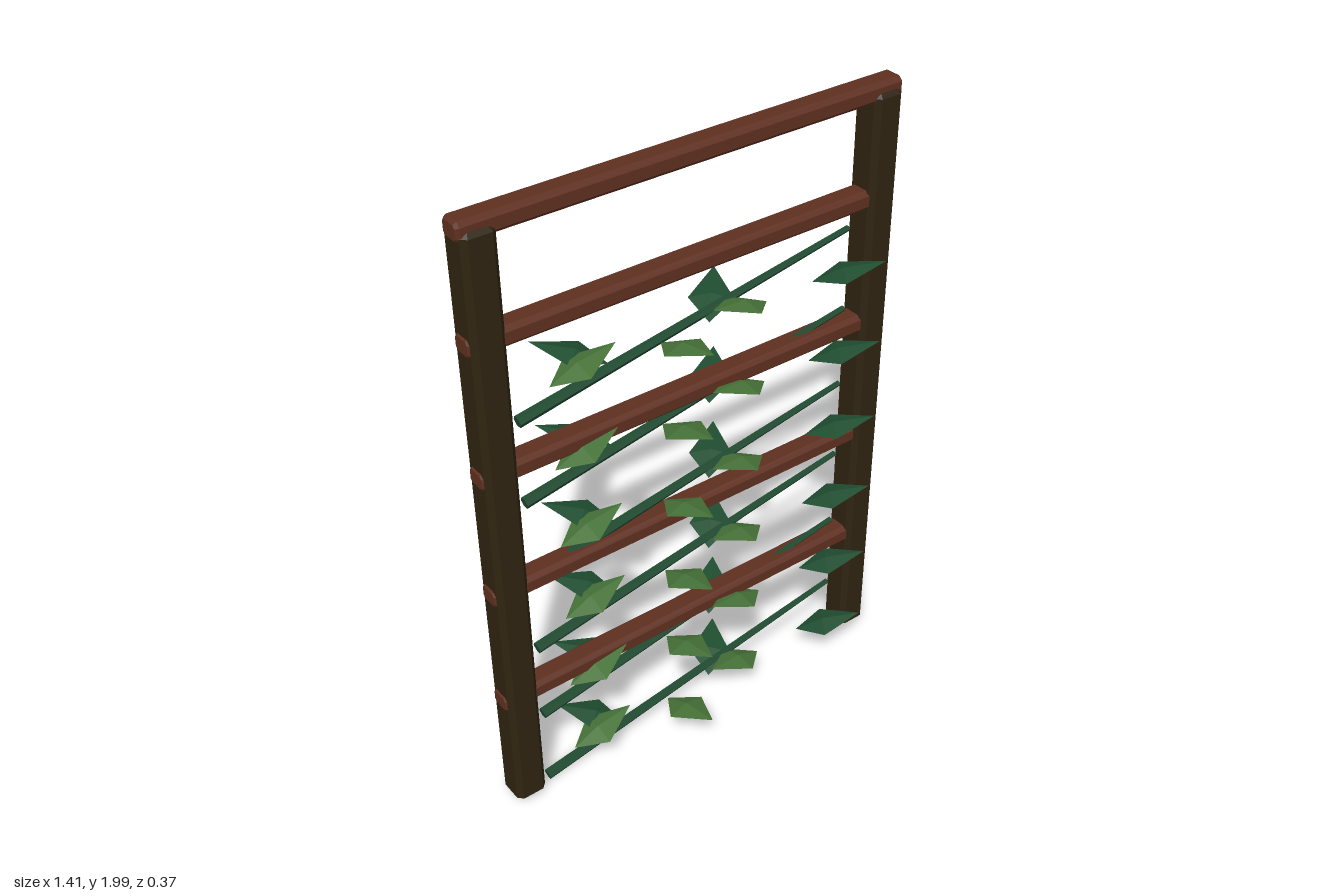
import * as THREE from 'three';

const flat = (name, color, side = THREE.FrontSide) => {
  const m = new THREE.MeshStandardMaterial({ color, side, flatShading: true });
  m.name = name;
  return m;
};

const Z = -0.06; // depth of the frame's centre plane

// Chamfered timber running along z, centred on the origin
function beamGeometry(w, h, length, chamfer, bevel) {
  const a = w / 2 - bevel, b = h / 2 - bevel, c = chamfer;
  const shape = new THREE.Shape([
    [a - c, -b], [a, -b + c], [a, b - c], [a - c, b],
    [-a + c, b], [-a, b - c], [-a, -b + c], [-a + c, -b],
  ].map(([x, y]) => new THREE.Vector2(x, y)));
  const g = new THREE.ExtrudeGeometry(shape, {
    depth: length - 2 * bevel, bevelEnabled: true,
    bevelThickness: bevel, bevelSize: bevel, bevelSegments: 1,
  });
  return g.translate(0, 0, -length / 2 + bevel);
}

// Kite-shaped leaf along +x, creased on a raised midrib and rising to its tip
function leafGeometry() {
  const base = [0, 0, 0], mid = [0.0875, 0.042, 0], tip = [0.21, 0.058, 0];
  const left = [0.0875, 0.025, -0.065], right = [0.0875, 0.025, 0.065];
  const faces = [base, mid, left, mid, tip, left, base, right, mid, mid, right, tip];
  const g = new THREE.BufferGeometry();
  g.setAttribute('position', new THREE.Float32BufferAttribute(faces.flat(), 3));
  g.computeVertexNormals();
  return g;
}

export function createModel() {
  const model = new THREE.Group();
  model.name = 'trellis';
  const postWood = flat('dark brown wood', 0x2f2412);
  const railWood = flat('red brown wood', 0x5f3020);
  const stemGreen = flat('stem green', 0x1f4a30);
  const lightGreen = flat('light leaf green', 0x467238, THREE.DoubleSide);
  const darkGreen = flat('dark leaf green', 0x1f4d30, THREE.DoubleSide);

  const add = (parent, name, geometry, material, x, y, z) => {
    const mesh = new THREE.Mesh(geometry, material);
    mesh.name = name;
    mesh.position.set(x, y, z);
    parent.add(mesh);
    return mesh;
  };

  // Upright posts
  const postGeo = beamGeometry(0.1, 0.1, 1.945, 0.009, 0.012).rotateX(-Math.PI / 2);
  for (const side of [-1, 1]) {
    add(model, side > 0 ? 'leftPost' : 'rightPost', postGeo, postWood, side * 0.65, 0.9975, Z);
  }

  // Cross rails, the highest capping the posts
  const railGeo = beamGeometry(0.075, 0.06, 1.41, 0.008, 0.009).rotateY(Math.PI / 2);
  [0.43, 0.835, 1.24, 1.65, 1.97].forEach((y, i) => {
    add(model, i === 4 ? 'topRail' : 'rail', railGeo, railWood, 0, y, Z);
  });

  // Tapered stem and leaves of one vine: [base x, base z, tip x, tip z, material]
  const start = new THREE.Vector3(-0.568, 0.024, Z), end = new THREE.Vector3(0.563, 0.223, Z);
  const direction = end.clone().sub(start);
  const stemGeo = new THREE.CylinderGeometry(0.009, 0.018, direction.length(), 6);
  const leafGeo = leafGeometry();
  const leaves = [
    [-0.3, -0.025, -0.458, -0.165, darkGreen],
    [-0.485, -0.025, -0.277, -0.025, lightGreen],
    [-0.13, -0.025, -0.11, 0.184, lightGreen],
    [0.036, -0.028, 0.174, -0.187, darkGreen],
    [0.232, -0.02, 0.023, 0.006, lightGreen],
    [0.403, -0.025, 0.58, 0.089, darkGreen],
  ];
  for (let i = 0; i < 6; i++) {
    const vine = new THREE.Group();
    vine.name = 'vine';
    vine.position.y = i * 0.268;
    model.add(vine);
    const centre = start.clone().add(end).multiplyScalar(0.5);
    const stem = add(vine, 'stem', stemGeo, stemGreen, centre.x, centre.y, centre.z);
    stem.quaternion.setFromUnitVectors(new THREE.Vector3(0, 1, 0), direction.clone().normalize());
    for (const [bx, bz, tx, tz, material] of leaves) {
      const leaf = add(vine, 'leaf', leafGeo, material, bx, 0.118, bz);
      leaf.rotation.y = Math.atan2(bz - tz, tx - bx);
    }
  }
  return model;
}
